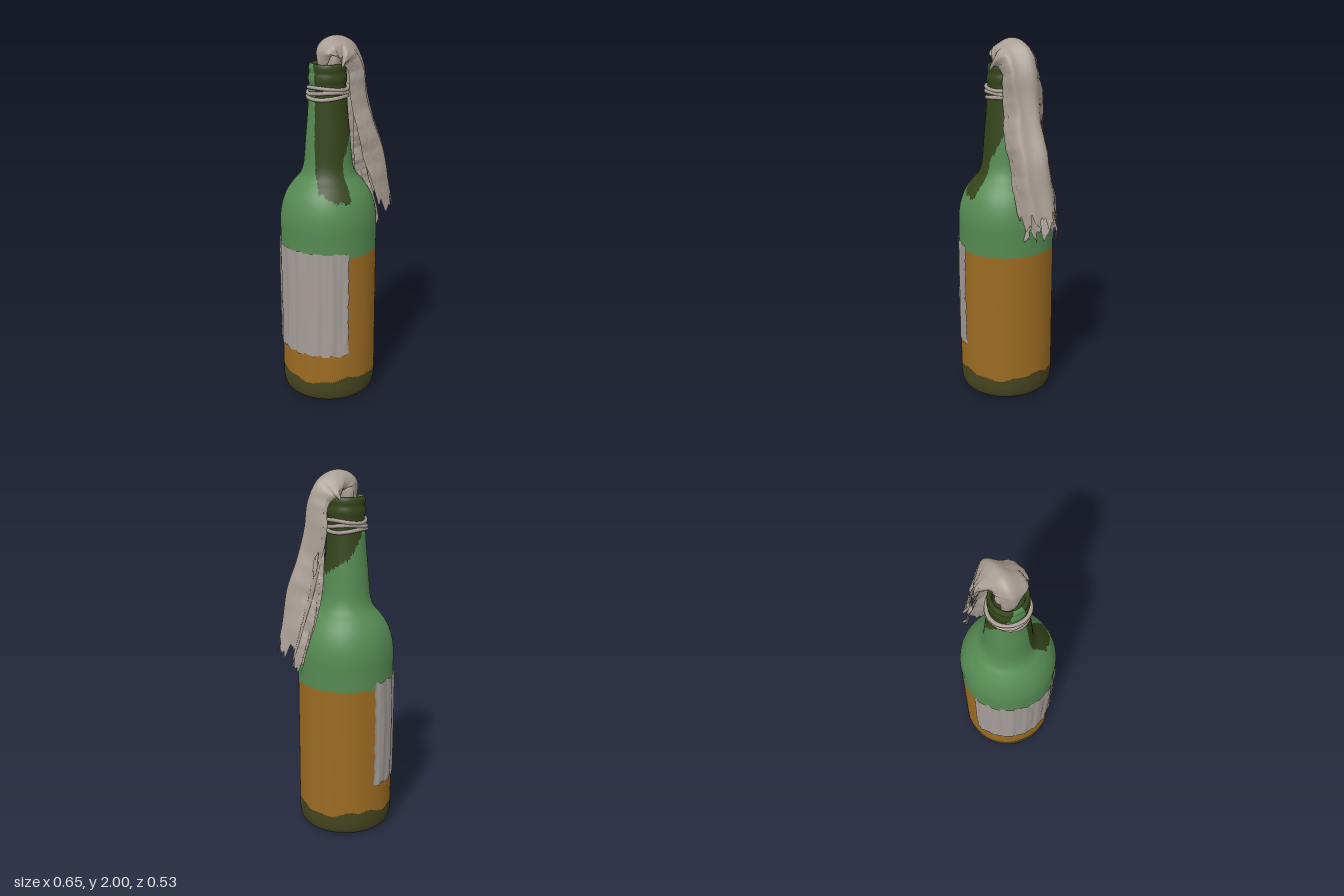
import * as THREE from 'three';

const AXIS_X = -0.071;
const mat = (name, color, side = THREE.FrontSide) => {
  const m = new THREE.MeshStandardMaterial({ color, side });
  m.name = name;
  return m;
};
const V2 = (x, y) => new THREE.Vector2(x, y);
const V3 = (x, y, z) => new THREE.Vector3(x, y, z);

// Linear interpolation through [key, value] pairs
function lookup(table, k) {
  for (let i = 1; i < table.length; i++) {
    const [a, va] = table[i - 1], [b, vb] = table[i];
    if (k <= b) return va + (vb - va) * Math.max(0, (k - a) / (b - a));
  }
  return table[table.length - 1][1];
}

// Ragged edge in the range -1 to 1
const ragged = (s) => 0.5 * Math.sin(s * 7.1) + 0.3 * Math.sin(s * 17.3 + 1) + 0.2 * Math.sin(s * 41 + 2);

// Open surface from a rule f(u, v), with cells left out where hole(u, v) is true
function sheet(nu, nv, f, hole = () => false) {
  const pos = [], index = [];
  for (let j = 0; j <= nv; j++)
    for (let i = 0; i <= nu; i++) pos.push(...f(i / nu, j / nv));
  for (let j = 0; j < nv; j++)
    for (let i = 0; i < nu; i++) {
      if (hole((i + 0.5) / nu, (j + 0.5) / nv)) continue;
      const a = j * (nu + 1) + i, b = a + 1, c = a + nu + 1, d = c + 1;
      index.push(a, c, b, b, c, d);
    }
  const g = new THREE.BufferGeometry();
  g.setAttribute('position', new THREE.Float32BufferAttribute(pos, 3));
  g.setIndex(index);
  g.computeVertexNormals();
  return g;
}

// Cloth strip: rows of [x, y, z, half width, arch depth] swept along a path in the xy plane
function clothStrip(rows, fold, tear, hole) {
  const path = new THREE.CatmullRomCurve3(rows.map((r) => V3(r[0], r[1], r[2])));
  const size = new THREE.CatmullRomCurve3(rows.map((r) => V3(r[3], r[4], 0)));
  return sheet(48, 90, (uu, v) => {
    const u = uu * 2 - 1;
    const t = v * (1 - tear * (0.5 + 0.5 * ragged(u * 2.2)));
    const p = path.getPoint(t), s = size.getPoint(t), q = path.getTangent(t);
    const len = Math.hypot(q.x, q.y);
    const nx = -q.y / len, ny = q.x / len;
    const w = s.x * (1 + 0.07 * ragged(t * 6 + (u > 0 ? 2 : 0)));
    const out = -s.y * (1 - Math.cos(u * Math.PI / 2))
      + fold * Math.min(1, t * 2) * (Math.cos(u * 8 + t * 2.5) - 1);
    const z = p.z + w * Math.sin(u * Math.PI / 2) + 0.006 * Math.sin(t * 23 + u * 4);
    return [p.x + nx * out, p.y + ny * out, z];
  }, hole);
}

export function createModel() {
  const group = new THREE.Group();
  const green = mat('greenGlass', 0x568a53);
  const dark = mat('darkGreenGlass', 0x35441b);
  const amber = mat('amberBand', 0x9c6b22);
  const base = mat('dirtyBase', 0x454420);
  const cloth = mat('cloth', 0xa89d93, THREE.DoubleSide);
  const paper = mat('paper', 0xa49c98, THREE.DoubleSide);
  const add = (name, geometry, material) => {
    const m = new THREE.Mesh(geometry, material);
    m.name = name;
    group.add(m);
    return m;
  };

  // Bottle profile: foot, body, shoulder, neck, lip and inner wall
  const outer = [
    [0.225, 0.004], [0.25, 0.02], [0.261, 0.06], [0.263, 0.12], [0.263, 0.4], [0.263, 0.7],
    [0.263, 0.95], [0.262, 1.04], [0.25, 1.11], [0.225, 1.175], [0.187, 1.23], [0.153, 1.27],
    [0.135, 1.315], [0.127, 1.37], [0.118, 1.48], [0.107, 1.6], [0.099, 1.72], [0.096, 1.755],
    [0.101, 1.775], [0.1, 1.8], [0.095, 1.815], [0.099, 1.835], [0.096, 1.855], [0.088, 1.862],
  ].map((p) => V2(...p));
  const profile = [V2(0, 0.02), V2(0.15, 0.012), V2(0.2, 0),
    ...new THREE.SplineCurve(outer).getSpacedPoints(190),
    V2(0.078, 1.855), V2(0.074, 1.83), V2(0.07, 1.7), V2(0, 1.7)];
  const glass = new THREE.LatheGeometry(profile, 144);

  // Lower limit of the dark neck stain by angle in degrees, 0 facing the front
  const stain = [[-70, 1.9], [-58, 1.8], [-50, 1.45], [-45, 1.32], [-28, 1.21], [-18, 1.2], [-8, 1.17],
    [17, 1.16], [23, 1.36], [60, 1.5], [100, 1.45], [180, 1.55], [225, 1.68], [255, 1.78], [270, 1.9], [290, 1.9]];
  const colourAt = (x, y, z) => {
    const phi = Math.atan2(x, z);
    let deg = phi * 180 / Math.PI;
    if (deg < -70) deg += 360;
    if (y < 0.135 + 0.013 * Math.sin(phi * 4 + 1) + 0.006 * Math.sin(phi * 11)) return 3;
    if (y < 0.868) return 2;
    const inside = y > 1.6 && Math.hypot(x, z) < 0.08;
    return inside || y > lookup(stain, deg) + 0.012 * ragged(phi * 4) ? 1 : 0;
  };

  // Sort the bottle faces into colour groups
  const buckets = [[], [], [], []];
  const P = glass.attributes.position, I = glass.index.array;
  for (let i = 0; i < I.length; i += 3) {
    const f = [I[i], I[i + 1], I[i + 2]];
    const mid = (get) => (get(f[0]) + get(f[1]) + get(f[2])) / 3;
    buckets[colourAt(mid((k) => P.getX(k)), mid((k) => P.getY(k)), mid((k) => P.getZ(k)))].push(...f);
  }
  glass.setIndex(buckets.flat());
  let start = 0;
  buckets.forEach((b, k) => {
    glass.addGroup(start, b.length, k);
    start += b.length;
  });
  add('bottle', glass, [green, dark, amber, base]).position.x = AXIS_X;

  // Torn paper label, wrapped around the front and right side
  const label = sheet(110, 40, (u, v) => {
    const edge = (u < 0.5 ? 1 : -1) * 0.02 * ragged(v * 5 + u) * Math.pow(Math.abs(2 * u - 1), 8);
    const phi = THREE.MathUtils.degToRad(9 - 162 * u) + edge;
    const y0 = 0.295 + 0.012 * ragged(u * 9), y1 = 0.9 + 0.006 * ragged(u * 7 + 3);
    const r = 0.2685 + 0.0025 * Math.sin(u * 55 + 1.5 * Math.sin(v * 3)) + 0.001 * Math.sin(u * 120);
    return [r * Math.sin(phi), y0 + (y1 - y0) * v, r * Math.cos(phi)];
  });
  add('paperLabel', label, paper).position.x = AXIS_X;

  // String wound around the neck
  for (let k = 0; k < 3; k++) {
    const pts = [];
    for (let i = 0; i < 24; i++) {
      const a = i / 24 * Math.PI * 2;
      const r = 0.104 + 0.003 * Math.sin(a * 3 + k * 2);
      pts.push(V3(r * Math.sin(a), 1.69 + k * 0.024 + 0.007 * Math.sin(a * 2 + k * 1.7), r * Math.cos(a)));
    }
    const loop = new THREE.CatmullRomCurve3(pts, true);
    add('neckString', new THREE.TubeGeometry(loop, 96, 0.0105, 8, true), cloth).position.x = AXIS_X;
  }

  // Cloth stuffed into the mouth
  const plug = new THREE.SphereGeometry(1, 32, 20);
  const pp = plug.attributes.position;
  for (let i = 0; i < pp.count; i++) {
    const x = pp.getX(i), y = pp.getY(i), z = pp.getZ(i);
    const k = 1 + 0.13 * Math.sin(Math.atan2(z, x) * 5) * (1 - y * y);
    pp.setXYZ(i, x * k * 0.066, y * 0.095, z * k * 0.072);
  }
  plug.computeVertexNormals();
  add('clothPlug', plug, cloth).position.set(-0.05, 1.875, 0);

  // Rag arching out of the mouth and hanging down the left side
  const rag = clothStrip([
    [-0.1, 1.74, 0, 0.04, 0.03], [-0.128, 1.86, 0.01, 0.055, 0.04], [-0.128, 1.935, 0.01, 0.08, 0.07],
    [-0.08, 1.985, 0, 0.095, 0.11], [0, 1.997, -0.015, 0.11, 0.12], [0.085, 1.955, -0.025, 0.11, 0.12],
    [0.14, 1.85, -0.03, 0.1, 0.1], [0.163, 1.7, -0.035, 0.105, 0.11], [0.205, 1.55, -0.035, 0.105, 0.12],
    [0.26, 1.4, -0.035, 0.105, 0.14], [0.29, 1.22, -0.045, 0.11, 0.11], [0.332, 1.02, -0.06, 0.1, 0.09],
  ], 0.011, 0.06, (u, v) => Math.hypot((u - 0.09) / 0.05, (v - 0.74) / 0.025) < 1);
  add('hangingRag', rag, cloth);

  // Torn inner layer of the rag
  const inner = clothStrip([
    [0.1, 1.72, -0.05, 0.06, 0.04], [0.13, 1.5, -0.06, 0.085, 0.06], [0.165, 1.32, -0.08, 0.09, 0.07],
    [0.205, 1.15, -0.08, 0.1, 0.06], [0.25, 0.94, -0.07, 0.1, 0.04],
  ], 0.012, 0.12);
  add('innerRag', inner, cloth);

  return group;
}
